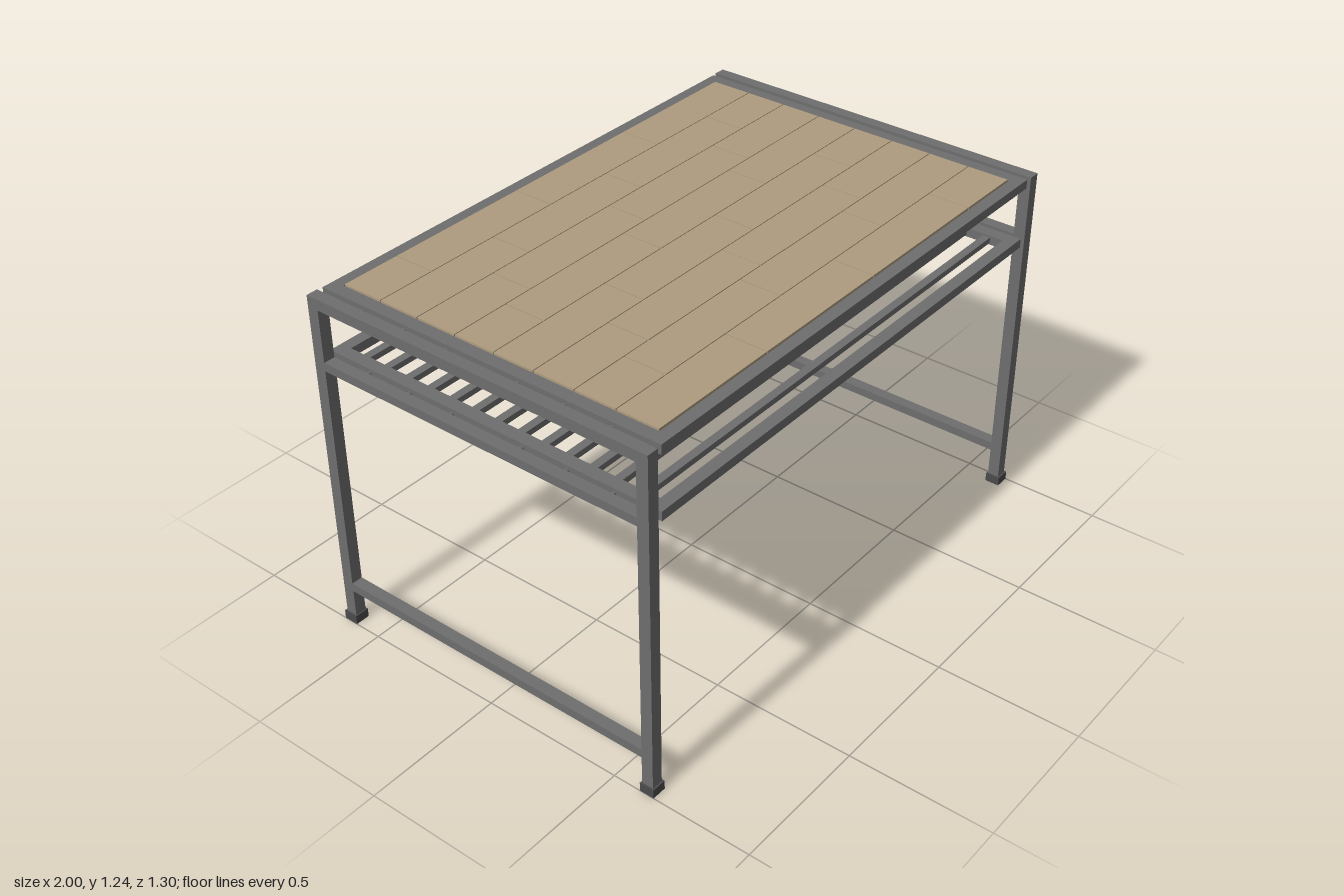
import * as THREE from 'three';

const metal = new THREE.MeshStandardMaterial({ color: 0x6e6e6f });
metal.name = 'steel grey';
const rubber = new THREE.MeshStandardMaterial({ color: 0x4b4b4c });
rubber.name = 'dark foot grey';
const wood = new THREE.MeshStandardMaterial({ color: 0xae9c7f });
wood.name = 'plank tan';

function box(parent, name, material, [w, h, d], [x, y, z]) {
  const mesh = new THREE.Mesh(new THREE.BoxGeometry(w, h, d), material);
  mesh.name = name;
  mesh.position.set(x, y, z);
  parent.add(mesh);
  return mesh;
}

// Rectangular frame: long rails front and back, end rails between them
function frame(name, y, h) {
  const g = new THREE.Group();
  g.name = name;
  for (const s of [-1, 1]) {
    box(g, 'longRail', metal, [1.87, h, 0.042], [0, y, s * 0.619]);
    box(g, 'endRail', metal, [0.045, h, 1.196], [s * 0.9125, y, 0]);
  }
  return g;
}

export function createModel() {
  const model = new THREE.Group();
  model.name = 'table';

  // End supports: legs, feet, cross rails and spacer pins
  for (const s of [-1, 1]) {
    const end = new THREE.Group();
    end.name = s > 0 ? 'leftEnd' : 'rightEnd';
    const x = s * 0.974;
    for (const t of [-1, 1]) {
      box(end, 'leg', metal, [0.041, 1.2, 0.041], [x, 0.632, t * 0.623]);
      box(end, 'foot', rubber, [0.052, 0.032, 0.052], [x, 0.016, t * 0.624]);
    }
    box(end, 'topRail', metal, [0.041, 0.038, 1.205], [x, 1.213, 0]);
    box(end, 'shelfRail', metal, [0.041, 0.03, 1.205], [x, 0.997, 0]);
    box(end, 'lowerRail', metal, [0.041, 0.031, 1.205], [x, 0.149, 0]);
    for (const y of [1.214, 0.997]) {
      for (const z of [-0.473, -0.304, -0.135, 0.135, 0.304, 0.473]) {
        const pin = new THREE.Mesh(new THREE.CylinderGeometry(0.008, 0.008, 0.024, 10), metal);
        pin.name = 'spacerPin';
        pin.rotation.z = Math.PI / 2;
        pin.position.set(s * 0.944, y, z);
        end.add(pin);
      }
    }
    model.add(end);
  }

  // Table top frame with a backing board
  const top = frame('topFrame', 1.216, 0.032);
  box(top, 'backingBoard', wood, [1.78, 0.012, 1.196], [0, 1.222, 0]);

  // Staggered planks with hairline joints
  const rows = 8, width = 1.192 / rows, length = 0.53, half = 0.889, gap = 0.003;
  for (let r = 0; r < rows; r++) {
    const z = (r - (rows - 1) / 2) * width;
    let start = -half;
    let stop = -half + length * [0.4, 0.9, 0.6][r % 3];
    while (start < half - 0.01) {
      stop = Math.min(stop, half);
      box(top, 'plank', wood, [stop - start - gap, 0.009, width - gap], [(start + stop) / 2, 1.2325, z]);
      start = stop;
      stop += length;
    }
  }
  model.add(top);

  // Slatted shelf below the top
  const shelf = frame('shelfFrame', 0.997, 0.032);
  for (let i = -6; i <= 6; i++) {
    box(shelf, 'slat', metal, [1.782, 0.02, 0.028], [0, 0.997, i * 0.0895]);
  }
  model.add(shelf);
  return model;
}
